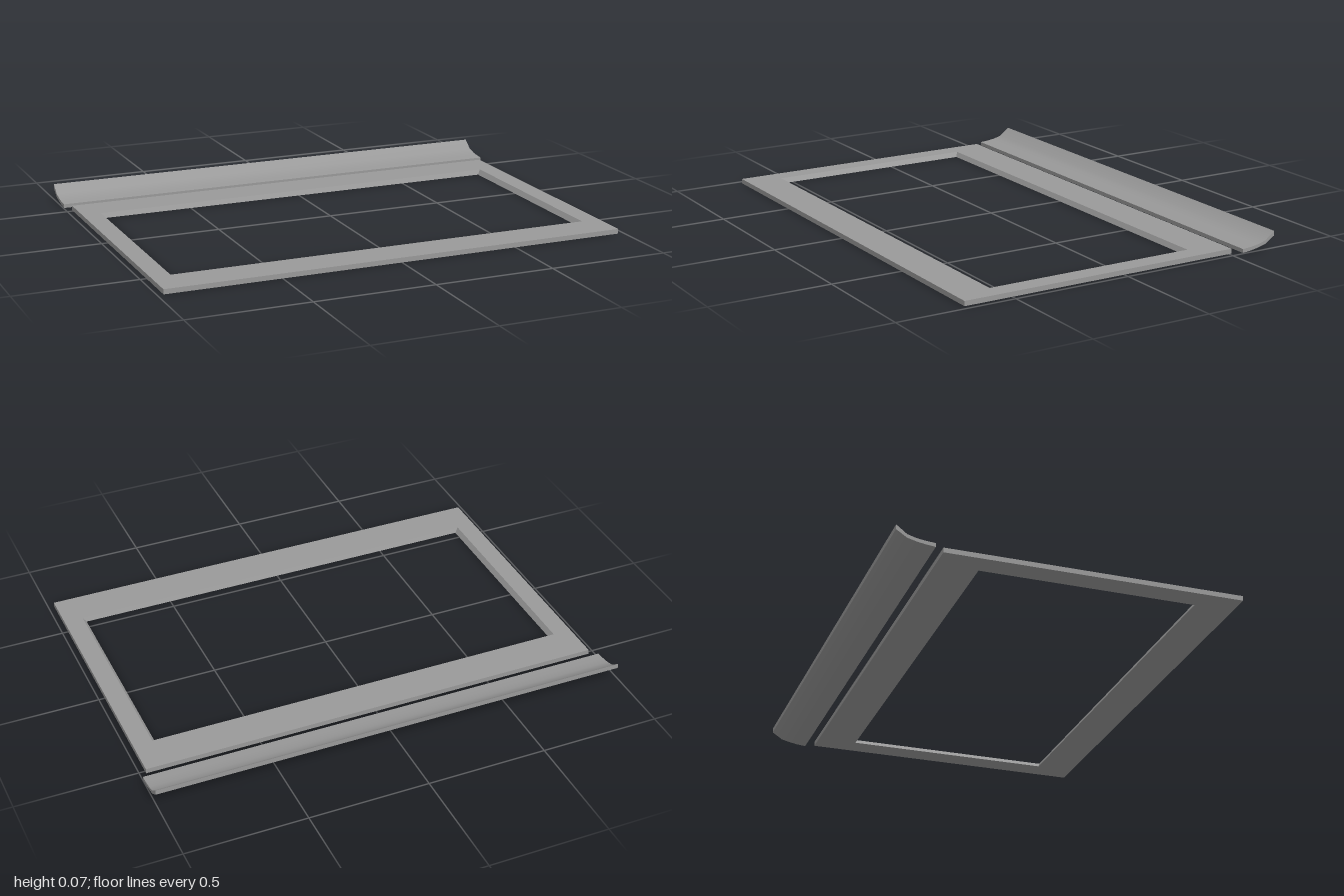
import * as THREE from 'three';
import { toCreasedNormals } from 'three/addons/utils/BufferGeometryUtils.js';

// Rectangular ring: each section is [x half width, back z, front z, y]
function ringGeometry(sections) {
  const corner = (i, [hx, back, front, y]) =>
    [[hx, y, front], [hx, y, back], [-hx, y, back], [-hx, y, front]][i % 4];
  const positions = [];
  for (let i = 0; i < 4; i++) {
    for (let j = 0; j < sections.length; j++) {
      const s = sections[j], t = sections[(j + 1) % sections.length];
      const a = corner(i, s), b = corner(i + 1, s), c = corner(i + 1, t), d = corner(i, t);
      positions.push(...a, ...b, ...c, ...a, ...c, ...d);
    }
  }
  const geometry = new THREE.BufferGeometry();
  geometry.setAttribute('position', new THREE.Float32BufferAttribute(positions, 3));
  geometry.computeVertexNormals();
  return geometry;
}

export function createModel() {
  const group = new THREE.Group();
  const grey = new THREE.MeshStandardMaterial({ color: 0x999999 });
  grey.name = 'grey';

  // Flat frame whose opening widens towards the top
  const frame = new THREE.Mesh(ringGeometry([
    [0.975, -0.513, 0.703, 0],
    [0.975, -0.513, 0.703, 0.02],
    [0.895, -0.357, 0.549, 0.02],
    [0.88, -0.345, 0.54, 0],
  ]), grey);
  frame.name = 'frame';
  group.add(frame);

  // Curved strip behind the frame: profile in (z, y), swept along x
  const lower = [[-0.55, 0.003], [-0.59, 0.007], [-0.625, 0.013], [-0.66, 0.022], [-0.703, 0.05]];
  const upper = [[-0.703, 0.07], [-0.66, 0.037], [-0.625, 0.027], [-0.59, 0.022], [-0.55, 0.019]];
  const profile = new THREE.Shape([...lower, ...upper].map(([z, y]) => new THREE.Vector2(-z, y)));
  const strip = new THREE.ExtrudeGeometry(profile, { depth: 2, bevelEnabled: false });
  strip.translate(0, 0, -1).rotateY(Math.PI / 2);
  const stripMesh = new THREE.Mesh(toCreasedNormals(strip, 0.6), grey);
  stripMesh.name = 'curvedStrip';
  group.add(stripMesh);

  return group;
}
